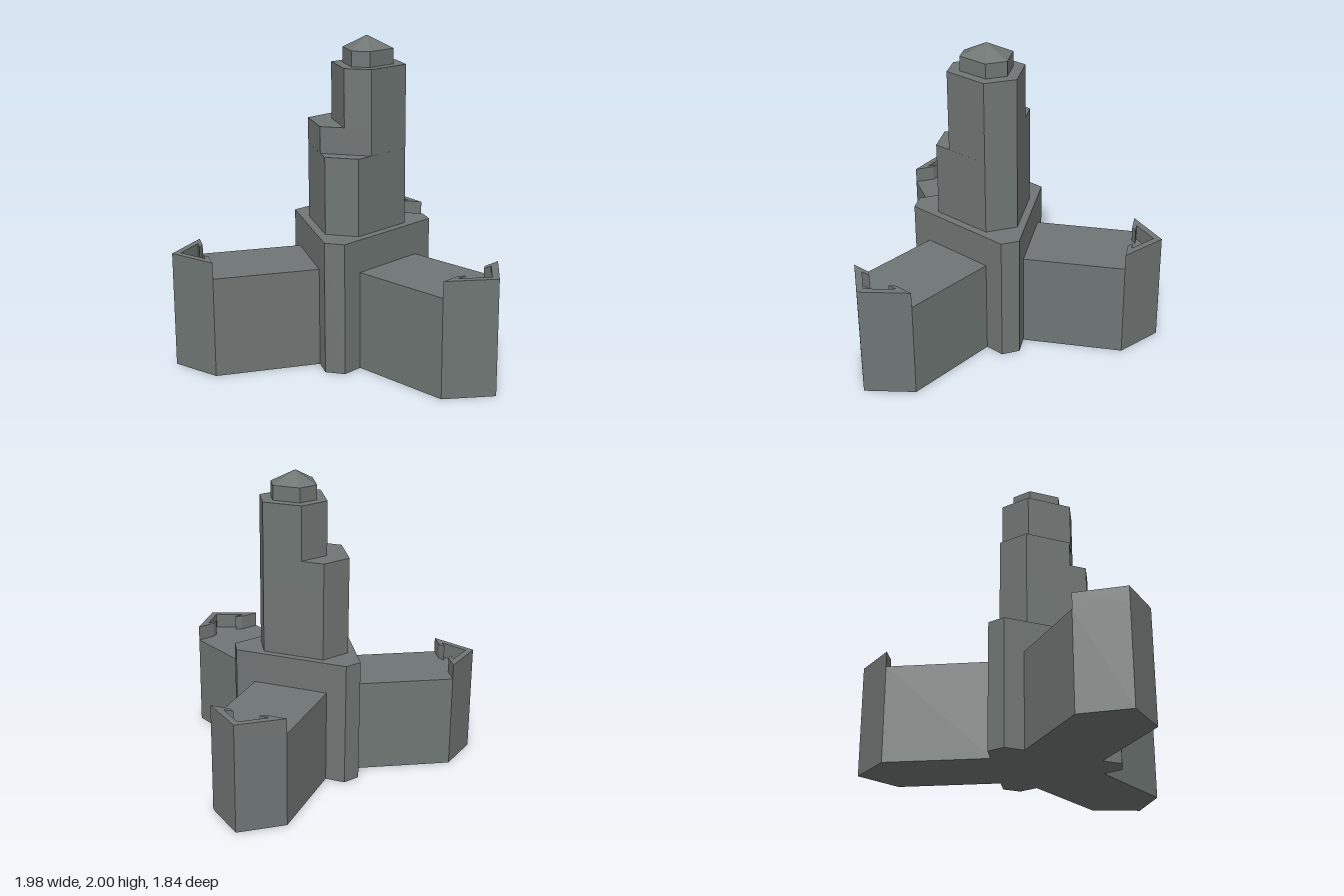
import * as THREE from 'three';

const material = new THREE.MeshStandardMaterial({ color: 0x6f7674, flatShading: true });

// Vertical prism from an [x, z] outline between two heights
function prism(name, outline, y0, y1) {
  const shape = new THREE.Shape(outline.map(([x, z]) => new THREE.Vector2(x, -z)));
  const geo = new THREE.ExtrudeGeometry(shape, { depth: y1 - y0, bevelEnabled: false });
  geo.rotateX(-Math.PI / 2).translate(0, y0, 0);
  const mesh = new THREE.Mesh(geo, material);
  mesh.name = name;
  return mesh;
}

// Faceted roof joining an outline to a peak
function peakedRoof(name, outline, y, peak) {
  const pos = [];
  outline.forEach(([x, z], i) => {
    const [nx, nz] = outline[(i + 1) % outline.length];
    pos.push(nx, y, nz, x, y, z, ...peak);
  });
  const geo = new THREE.BufferGeometry();
  geo.setAttribute('position', new THREE.Float32BufferAttribute(pos, 3));
  geo.computeVertexNormals();
  const mesh = new THREE.Mesh(geo, material);
  mesh.name = name;
  return mesh;
}

// Wing pointing to -z from the hub, with a pointed end and a hooked parapet
function makeWing(name) {
  const wing = new THREE.Group();
  wing.name = name;
  wing.add(prism('wingBlock',
    [[-0.253, -0.28], [-0.253, -0.942], [0, -1.146], [0.253, -0.942], [0.253, -0.28]], 0, 0.618));
  const inner = [[0.125, -0.942], [0.085, -0.968], [0.153, -0.968]];
  wing.add(prism('parapet', [
    [-0.253, -0.942], [0, -1.146], [0.253, -0.942],
    ...inner, [0, -1.093],
    ...inner.map(([x, z]) => [-x, z]).reverse(),
  ], 0.618, 0.718));
  return wing;
}

export function createModel() {
  const model = new THREE.Group();
  model.name = 'steppedTower';

  // Three wings around the hub
  ['backWing', 'leftWing', 'rightWing'].forEach((name, i) => {
    const wing = makeWing(name);
    wing.position.z = 0.226;
    wing.rotation.y = -i * Math.PI * 2 / 3;
    model.add(wing);
  });

  // Truncated-triangle podium
  model.add(prism('podium',
    [[-0.385, -0.063], [0.385, -0.063], [0.445, 0.04], [0.062, 0.706], [-0.062, 0.706], [-0.445, 0.04]], 0, 0.823));

  // Shaft, stepping back first at the front and then at the right
  model.add(prism('lowerShaft',
    [[-0.208, -0.015], [0.208, -0.015], [0.312, 0.167], [0.104, 0.53], [-0.104, 0.53], [-0.312, 0.167]], 0.823, 1.303));
  model.add(prism('middleShaft',
    [[-0.208, -0.015], [0.208, -0.015], [0.312, 0.167], [0.159, 0.432], [-0.159, 0.432], [-0.312, 0.167]], 1.303, 1.468));
  model.add(prism('upperShaft',
    [[-0.055, -0.015], [0.208, -0.015], [0.312, 0.167], [0.159, 0.432], [-0.008, 0.432], [-0.159, 0.167]], 1.468, 1.825));

  // Lantern and its roof
  const lantern = [[-0.017, 0.053], [0.167, 0.053], [0.236, 0.172], [0.132, 0.356], [0.018, 0.356], [-0.085, 0.172]];
  model.add(prism('lantern', lantern, 1.825, 1.92));
  model.add(peakedRoof('lanternRoof', lantern, 1.92, [0.075, 2, 0.2]));

  return model;
}
